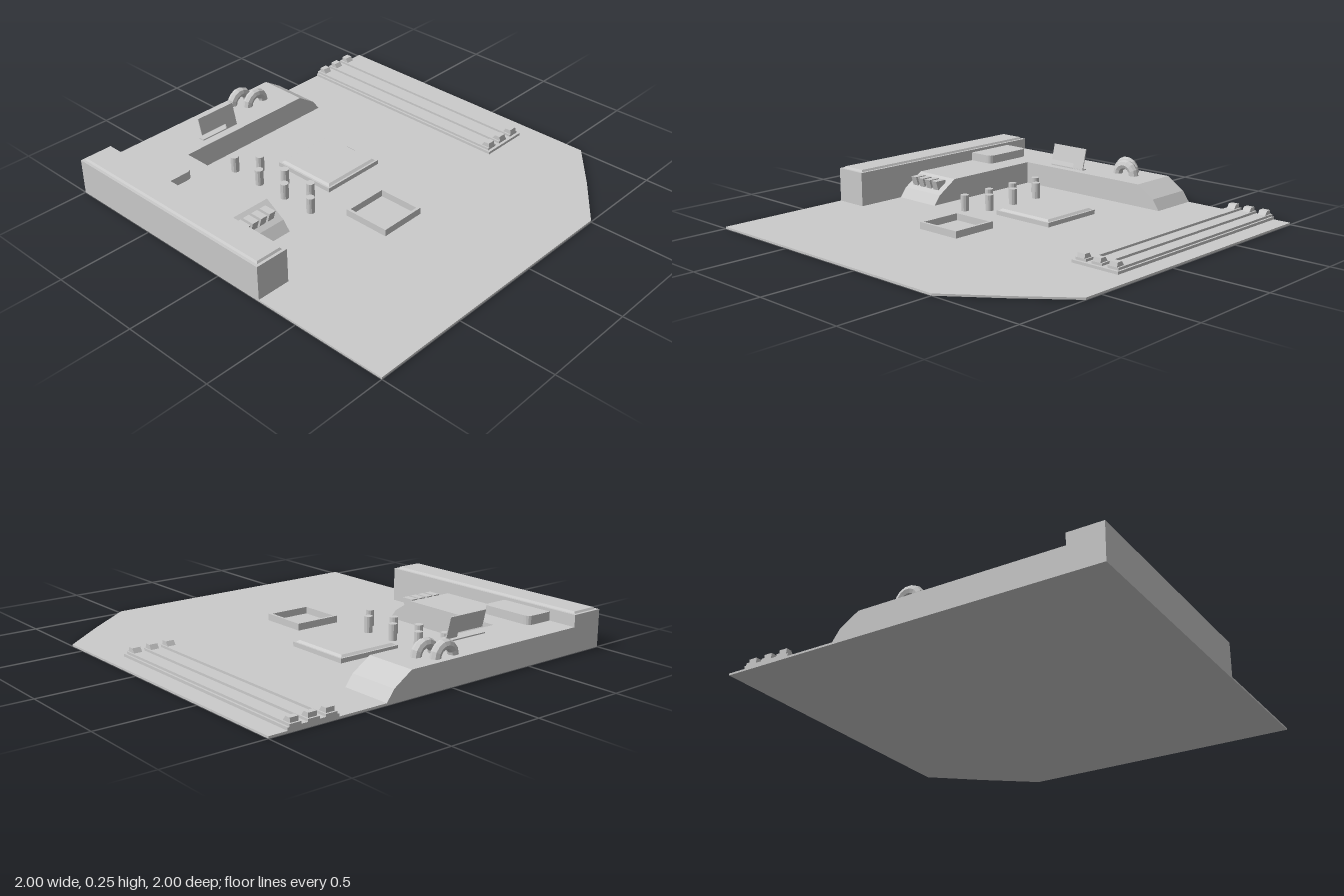
import * as THREE from 'three';

const material = new THREE.MeshStandardMaterial({ color: 0xcccccc, flatShading: true, side: THREE.DoubleSide });

export function createModel() {
  const model = new THREE.Group();

  const add = (name, geometry, x = 0, y = 0, z = 0) => {
    const mesh = new THREE.Mesh(geometry, material);
    mesh.name = name;
    mesh.position.set(x, y, z);
    model.add(mesh);
    return mesh;
  };

  // Box from its limits; taper pulls the top edges inwards
  const block = (name, x0, x1, y0, y1, z0, z1, taper = 0) => {
    const w = x1 - x0, d = z1 - z0;
    const g = new THREE.BoxGeometry(w, y1 - y0, d);
    const p = g.attributes.position;
    for (let i = 0; i < p.count; i++) {
      if (p.getY(i) > 0) {
        p.setX(i, p.getX(i) - Math.sign(p.getX(i)) * taper);
        p.setZ(i, p.getZ(i) - Math.sign(p.getZ(i)) * taper);
      }
    }
    g.computeVertexNormals();
    return add(name, g, (x0 + x1) / 2, (y0 + y1) / 2, (z0 + z1) / 2);
  };

  const polygon = (points) => new THREE.Shape(points.map(([a, b]) => new THREE.Vector2(a, b)));
  const extrude = (shape, depth) =>
    new THREE.ExtrudeGeometry(shape, { depth, bevelEnabled: false, curveSegments: 4 });

  // Plan shape (x, z) raised upwards
  const raised = (name, shape, y0, y1) => {
    const mesh = add(name, extrude(shape, y1 - y0), 0, y1, 0);
    mesh.rotation.x = Math.PI / 2;
    return mesh;
  };

  // Side profile (z, y) swept along x
  const sweptX = (name, points, x0, x1) => {
    const mesh = add(name, extrude(polygon(points.map(([z, y]) => [-z, y])), x1 - x0), x0, 0, 0);
    mesh.rotation.y = Math.PI / 2;
    return mesh;
  };

  // Circuit board with one cut corner
  raised('board', polygon([[-1, -1], [1, -1], [1, 0.6], [0.76, 0.8], [0.5, 1], [-1, 1]]), 0, 0.01);

  // Tall port housing along the edge
  block('portHousing', -1, -0.82, 0.01, 0.19, -1, 0.27);
  block('portHousingLid', -0.985, -0.835, 0.19, 0.2, -0.985, 0.255, 0.007);

  // L-shaped cover, each arm ending in a slope
  sweptX('coverSideArm', [[-1, 0.01], [-1, 0.13], [-0.15, 0.13], [-0.04, 0.06], [0, 0.01]], -0.82, -0.55);
  add('coverBackArm', extrude(polygon([
    [-0.55, 0.01], [0.38, 0.01], [0.34, 0.065], [0.24, 0.13], [-0.55, 0.13],
  ]), 0.27), 0, 0, -1);

  // Vent fins on the side arm's slope
  for (const x of [-0.786, -0.733, -0.68, -0.627]) {
    sweptX('ventFin', [[-0.12, 0.1], [-0.12, 0.125], [-0.05, 0.125], [-0.07, 0.06]], x, x + 0.038);
  }

  // Pad with two rounded corners
  const pad = new THREE.Shape();
  pad.moveTo(-0.82, -0.845);
  pad.lineTo(-0.705, -0.845);
  pad.quadraticCurveTo(-0.67, -0.845, -0.67, -0.81);
  pad.lineTo(-0.67, -0.585);
  pad.quadraticCurveTo(-0.67, -0.55, -0.705, -0.55);
  pad.lineTo(-0.82, -0.55);
  raised('roundedPad', pad, 0.13, 0.175);

  // Leaning card on a thin foot
  block('cardFoot', -0.41, -0.18, 0.13, 0.136, -0.805, -0.775);
  const card = add('leaningCard', extrude(polygon([
    [-0.25, 0], [-0.18, 0], [-0.18, 0.12], [-0.41, 0.12], [-0.41, 0.03], [-0.25, 0.03],
  ]), 0.006), 0, 0.13, -0.78);
  card.rotation.x = -0.24;

  // Two faceted cable arches
  for (const [x, z] of [[-0.005, -0.945], [0.045, -0.875]]) {
    add('cableArch', new THREE.TorusGeometry(0.054, 0.026, 8, 7, Math.PI), x, 0.13, z);
  }

  // Processor socket and lid
  block('processorSocket', -0.185, 0.175, 0.01, 0.033, -0.455, -0.095);
  block('processorLid', -0.175, 0.165, 0.033, 0.043, -0.445, -0.105, 0.012);

  // Open square frame
  const frame = polygon([[-0.27, 0.105], [-0.015, 0.105], [-0.015, 0.36], [-0.27, 0.36]]);
  frame.holes.push(polygon([[-0.255, 0.12], [-0.255, 0.345], [-0.03, 0.345], [-0.03, 0.12]]));
  raised('chipFrame', frame, 0.01, 0.046);

  // Staggered capacitors
  for (let i = 0; i < 7; i++) {
    add('capacitor', new THREE.CylinderGeometry(0.022, 0.022, 0.085, 12),
      i % 2 ? -0.275 : -0.365, 0.0525, -0.59 + i * 0.091);
  }

  // Memory slots with a clip at each end
  block('memoryBase', 0.64, 0.905, 0.01, 0.024, -1, 0.27);
  for (const x of [0.68, 0.772, 0.865]) {
    block('memorySlot', x - 0.03, x + 0.03, 0.024, 0.036, -1, 0.255);
    sweptX('backClip', [[-0.99, 0.036], [-0.99, 0.058], [-0.96, 0.058], [-0.945, 0.036]], x - 0.022, x + 0.022);
    sweptX('frontClip', [[0.205, 0.036], [0.22, 0.058], [0.25, 0.058], [0.255, 0.036]], x - 0.022, x + 0.022);
  }

  return model;
}
